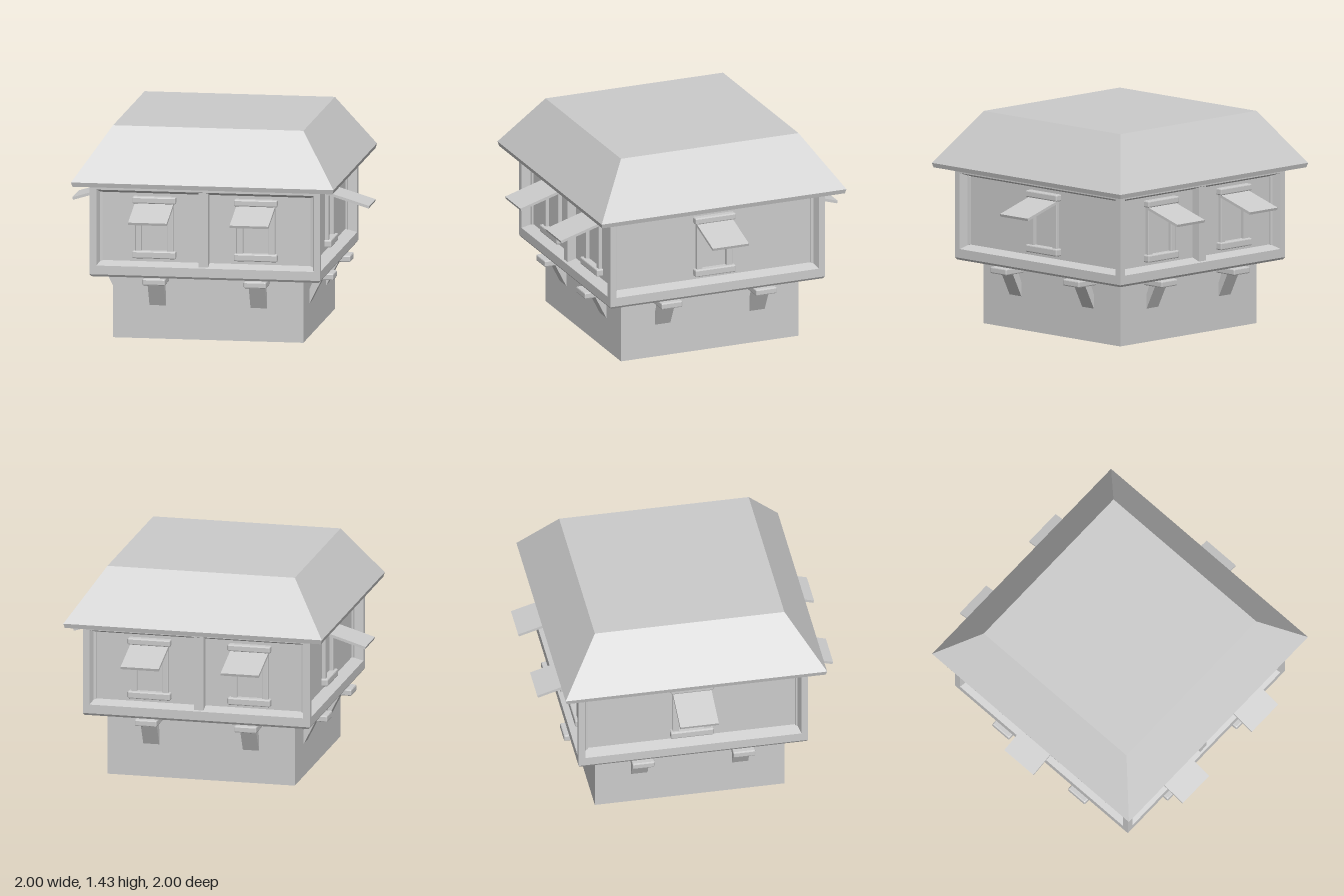
import * as THREE from 'three';
import { RoundedBoxGeometry } from 'three/addons/geometries/RoundedBoxGeometry.js';

const solid = new THREE.MeshStandardMaterial({ color: 0xcccccc, flatShading: true });
const shell = new THREE.MeshStandardMaterial({ color: 0xcccccc, flatShading: true, side: THREE.DoubleSide });

function add(parent, name, geometry, material = solid) {
  const mesh = new THREE.Mesh(geometry, material);
  mesh.name = name;
  parent.add(mesh);
  return mesh;
}

// Square shell around the y axis; each point is [half width, y], bottom to top
function squareShell(points) {
  const profile = points.map(([h, y]) => new THREE.Vector2(h * Math.SQRT2, y));
  return new THREE.LatheGeometry(profile, 4, Math.PI / 4);
}

// Nested rectangles facing +z, [half width, bottom, top, z], from outside in; the last is filled
function recessedPanel(rings) {
  const pos = [], index = [];
  rings.forEach(([w, b, t, z], r) => {
    pos.push(-w, b, z, w, b, z, w, t, z, -w, t, z);
    if (r === 0) return;
    for (let i = 0; i < 4; i++) {
      const j = (i + 1) % 4, o = (r - 1) * 4, n = r * 4;
      index.push(o + i, o + j, n + j, o + i, n + j, n + i);
    }
  });
  const last = (rings.length - 1) * 4;
  index.push(last, last + 1, last + 2, last, last + 2, last + 3);
  const g = new THREE.BufferGeometry();
  g.setAttribute('position', new THREE.Float32BufferAttribute(pos, 3));
  g.setIndex(index);
  g.computeVertexNormals();
  return g;
}

// Box with softly cut edges, given by its extents
function beam(x0, x1, y0, y1, z0, z1, r = 0.008) {
  const g = new RoundedBoxGeometry(x1 - x0, y1 - y0, z1 - z0, 1, r);
  return g.translate((x0 + x1) / 2, (y0 + y1) / 2, (z0 + z1) / 2);
}

function makeWindow(x) {
  const win = new THREE.Group();
  win.name = 'window';
  win.position.x = x;
  add(win, 'windowHeader', beam(-0.145, 0.145, 0.925, 0.97, 0.67, 0.745));
  add(win, 'windowSill', beam(-0.145, 0.145, 0.555, 0.605, 0.67, 0.745));
  for (const s of [-1, 1]) {
    add(win, 'windowPost', beam(s * 0.107 - 0.021, s * 0.107 + 0.021, 0.6, 0.93, 0.675, 0.725, 0.004));
  }
  // Shutter propped open, hinged under the header
  const shutter = add(win, 'shutter', new THREE.BoxGeometry(0.26, 0.018, 0.31).translate(0, 0, 0.155));
  shutter.position.set(0, 0.923, 0.7);
  shutter.rotation.x = 0.294;
  return win;
}

function makeBracket(x) {
  const bracket = new THREE.Group();
  bracket.name = 'bracket';
  bracket.position.x = x;
  add(bracket, 'bracketBeam', beam(-0.075, 0.075, 0.385, 0.429, 0.62, 0.805));
  // Slanted brace, drawn in (z, y) and extruded across x
  const shape = new THREE.Shape([[0.625, 0.28], [0.67, 0.39], [0.725, 0.39], [0.642, 0.225], [0.625, 0.225]]
    .map(([z, y]) => new THREE.Vector2(z, y)));
  const brace = new THREE.ExtrudeGeometry(shape, { depth: 0.11, bevelEnabled: false });
  add(bracket, 'bracketBrace', brace.translate(0, 0, -0.055).rotateY(-Math.PI / 2));
  return bracket;
}

function makeSide(name, angle, windows, postX) {
  const side = new THREE.Group();
  side.name = name;
  side.rotation.y = angle;
  add(side, 'framedWall', recessedPanel([
    [0.775, 0.445, 1.05, 0.775],
    [0.73, 0.505, 1.017, 0.775],
    [0.712, 0.53, 0.99, 0.7],
  ]), shell);
  if (postX !== null) {
    add(side, 'middlePost', new THREE.BoxGeometry(0.064, 0.505, 0.08).translate(postX, 0.762, 0.72));
  }
  windows.forEach((x) => side.add(makeWindow(x)));
  [-0.34, 0.34].forEach((x) => side.add(makeBracket(x)));
  return side;
}

export function createModel() {
  const house = new THREE.Group();
  house.name = 'house';

  // Open-bottomed lower storey and the underside of the overhang
  add(house, 'lowerWalls', squareShell([[0.64, 0], [0.64, 0.43]]), shell);
  add(house, 'overhang', squareShell([[0.64, 0.43], [0.765, 0.43], [0.775, 0.445]]), shell);

  // Upper storey: two windows front and back, one on each flank
  house.add(makeSide('frontSide', 0, [-0.35, 0.333], -0.013));
  house.add(makeSide('backSide', Math.PI, [0.35, -0.333], 0.013));
  house.add(makeSide('leftSide', Math.PI / 2, [0], null));
  house.add(makeSide('rightSide', -Math.PI / 2, [0], null));

  // Flat-topped hipped roof with a thin eave
  add(house, 'roof', squareShell([[0, 1.05], [0.875, 1.05], [0.883, 1.08], [0.64, 1.43], [0, 1.43]]), shell);
  return house;
}
